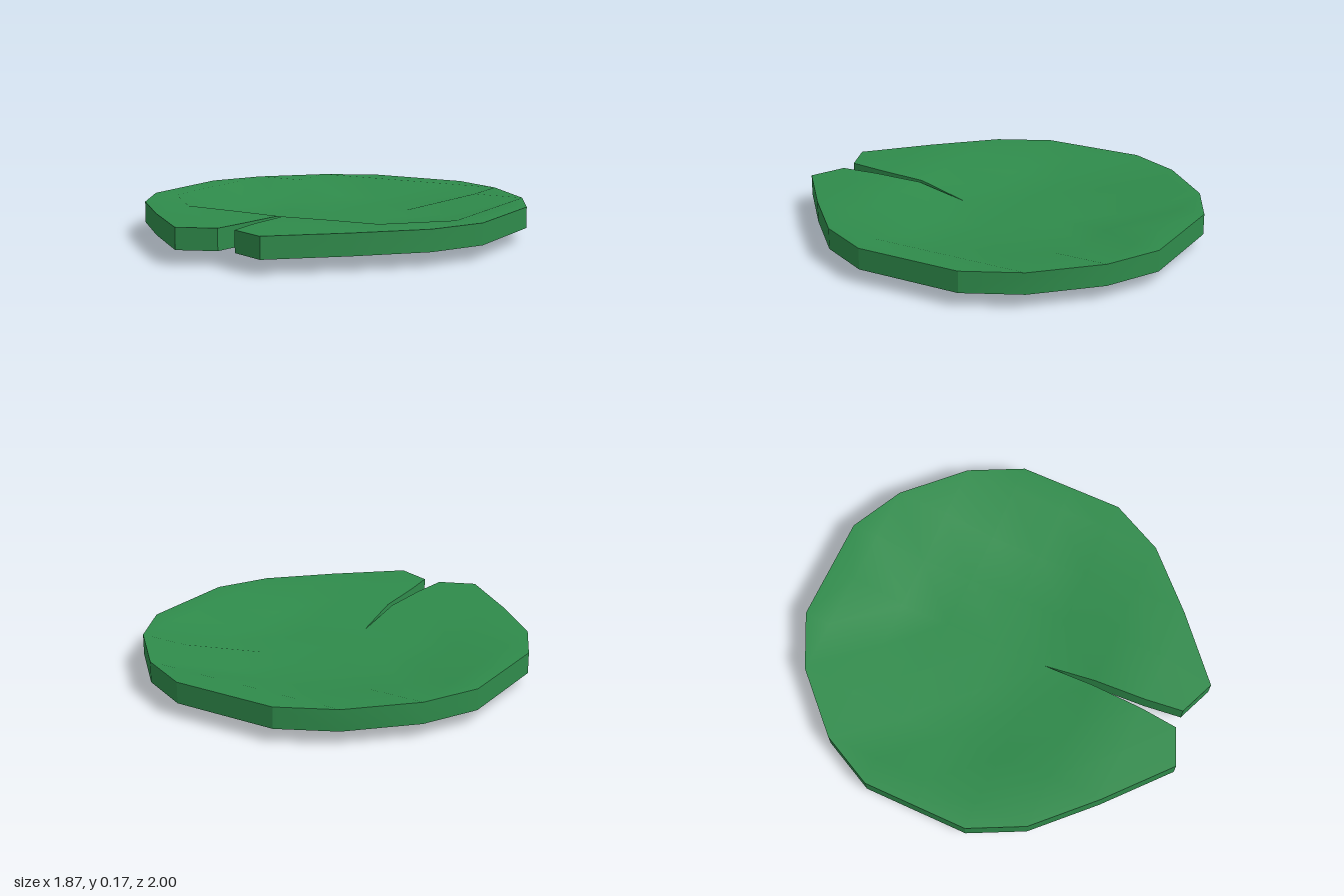
import * as THREE from 'three';
import { toCreasedNormals } from 'three/addons/utils/BufferGeometryUtils.js';

const THICK = 0.105;

// Half of the pad as rows of [x, underside height, z], from back to front
const RIM = 0.07;
const row = (z, ...points) => points.map(([x, y]) => [x, y, z]);
const ROWS = [
  row(-1, [0, RIM], [0.267, RIM]),
  row(-0.867, [0, RIM], [0.267, RIM], [0.533, RIM]),
  row(-0.6, [0, 0], [0.267, 0], [0.533, RIM], [0.8, RIM]),
  row(-0.333, [0, 0], [0.267, 0], [0.533, 0], [0.8, RIM], [0.933, RIM]),
  row(-0.067, [0, 0], [0.267, 0], [0.533, 0], [0.8, RIM], [0.933, RIM]),
  row(0.2, [0, 0], [0.267, 0], [0.533, 0], [0.8, RIM], [0.933, RIM]),
  row(0.467, [0.013, 0.062], [0.267, 0.067], [0.533, RIM], [0.8, RIM]),
  row(0.733, [0.025, 0.068], [0.267, RIM], [0.533, RIM]),
  [[0.046, RIM, 0.925], [0.228, RIM, 1]],
];
const SLIT_ROW = 5; // the slit starts at this row

function padGeometry() {
  const positions = [];
  const lift = ([x, y, z]) => [x, y + THICK, z];

  // Adds a triangle and its mirror image
  const tri = (a, b, c) => {
    positions.push(...a, ...b, ...c);
    for (const [x, y, z] of [a, c, b]) positions.push(-x, y, z);
  };
  // Adds a triangle to the top and to the underside
  const skin = (a, b, c) => {
    tri(lift(a), lift(b), lift(c));
    tri(a, c, b);
  };

  // Top and underside
  for (let r = 0; r < ROWS.length - 1; r++) {
    const a = ROWS[r], b = ROWS[r + 1];
    const n = Math.min(a.length, b.length) - 1;
    for (let i = 0; i < n; i++) {
      skin(a[i], b[i], a[i + 1]);
      skin(b[i], b[i + 1], a[i + 1]);
    }
    if (b.length > a.length) skin(a[n], b[n], b[n + 1]);
    if (a.length > b.length) skin(a[n], b[n], a[n + 1]);
  }

  // Rim wall, then the wall of the slit
  const edge = [
    ROWS[0][0],
    ...ROWS.map((r) => r[r.length - 1]),
    ...ROWS.slice(SLIT_ROW).reverse().map((r) => r[0]),
  ];
  for (let i = 0; i < edge.length - 1; i++) {
    const p = edge[i], q = edge[i + 1];
    tri(p, lift(p), q);
    tri(q, lift(p), lift(q));
  }

  const geometry = new THREE.BufferGeometry();
  geometry.setAttribute('position', new THREE.Float32BufferAttribute(positions, 3));
  return toCreasedNormals(geometry, 0.4);
}

export function createModel() {
  const leafGreen = new THREE.MeshStandardMaterial({ color: 0x2f8b4b });
  leafGreen.name = 'leafGreen';

  const pad = new THREE.Mesh(padGeometry(), leafGreen);
  pad.name = 'lilyPad';

  const model = new THREE.Group();
  model.name = 'lilyPadModel';
  model.add(pad);
  return model;
}
